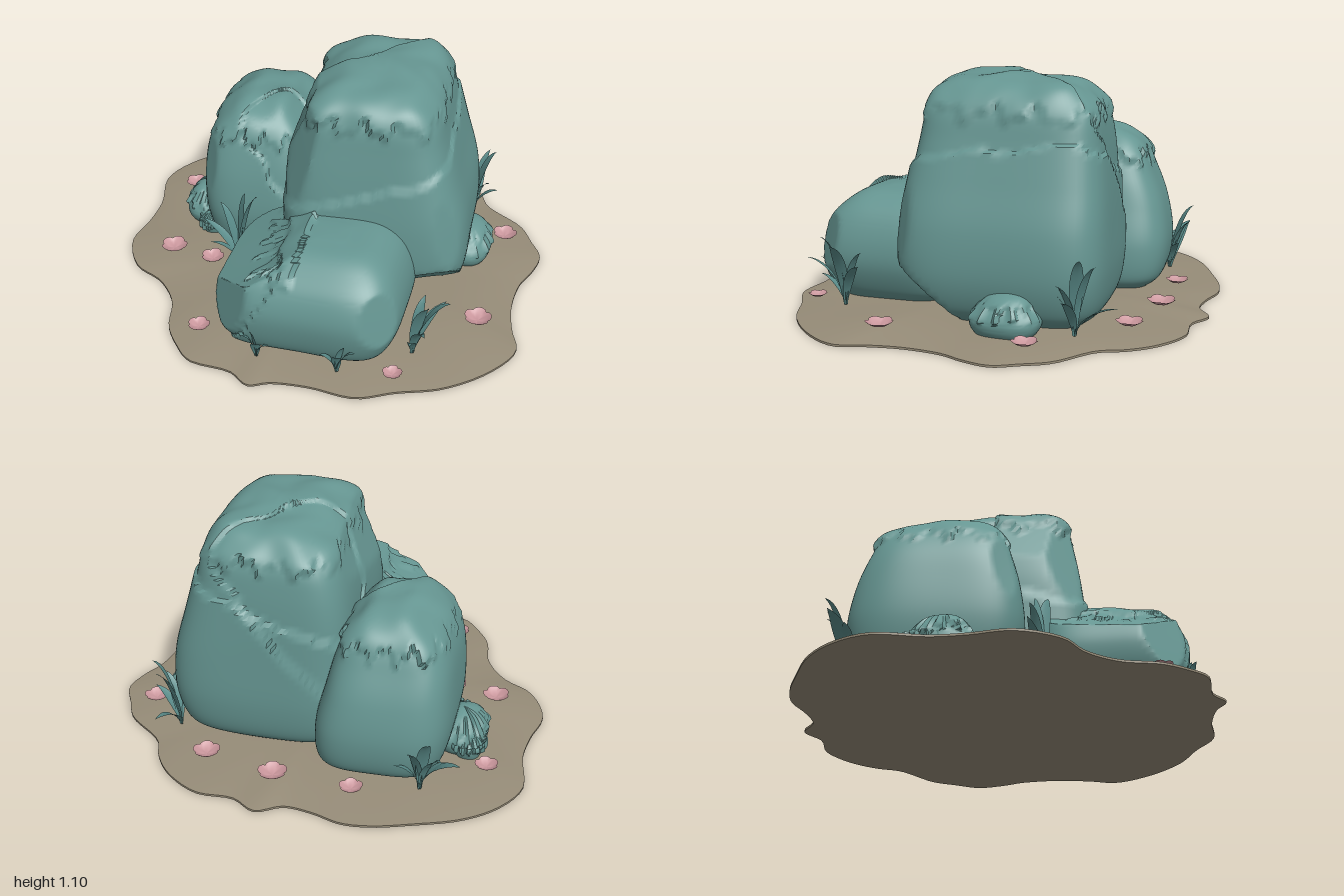
import * as THREE from 'three';
import { toCreasedNormals } from 'three/addons/utils/BufferGeometryUtils.js';

const material = (name, color, side = THREE.FrontSide) => {
  const m = new THREE.MeshStandardMaterial({ color, side });
  m.name = name;
  return m;
};

const smooth = (a, b, v) => THREE.MathUtils.smoothstep(v, a, b);

// Soft repeatable bumps in the range -1 to 1
const bumps = (x, y, z, f) =>
  (Math.sin(x * f + 1.7 * Math.sin(z * f * 0.7)) +
    Math.sin(y * f * 1.1 + 1.3 * Math.sin(x * f * 0.8 + 2)) +
    Math.sin(z * f * 0.9 + 1.5 * Math.sin(y * f * 0.6 + 4))) / 3;

// Closed skin over equal-length rings, with a centre point at each end
function loft(rings) {
  const n = rings[0].length, last = rings.length - 1;
  const centre = ring => ring
    .reduce((s, p) => s.add(p), new THREE.Vector3()).divideScalar(n);
  const points = [...rings.flat(), centre(rings[0]), centre(rings[last])];
  const bottom = n * rings.length, top = bottom + 1;
  const index = [];
  for (let j = 0; j < n; j++) {
    const k = (j + 1) % n;
    for (let i = 0; i < last; i++) {
      const a = i * n + j, b = i * n + k;
      index.push(a, a + n, b, b, a + n, b + n);
    }
    index.push(bottom, j, k, top, last * n + k, last * n + j);
  }
  const g = new THREE.BufferGeometry().setFromPoints(points);
  g.setIndex(index);
  g.computeVertexNormals();
  return g;
}

// Boulder: levels are [y, left, right, back, front]; cuts flatten corners,
// ledges split the face into stepped slabs, the cap is a thick dripping crust
function rockGeometry({ levels, rows = 72, sides = 128, yaw = 0, power = 4, cuts = [], ledges = [], cap, seed }) {
  const xs = new THREE.CatmullRomCurve3(
    levels.map(l => new THREE.Vector3(l[1], l[0], l[2])), false, 'catmullrom');
  const zs = new THREE.CatmullRomCurve3(
    levels.map(l => new THREE.Vector3(l[3], l[0], l[4])), false, 'catmullrom');
  const mid = levels[Math.floor(levels.length / 2) - 1];
  const c = new THREE.Vector3((mid[1] + mid[2]) / 2,
    (levels[0][0] + levels.at(-1)[0]) / 2, (mid[3] + mid[4]) / 2);
  const rings = [];
  for (let i = 0; i <= rows; i++) {
    const px = xs.getPoint(i / rows), pz = zs.getPoint(i / rows), ring = [];
    for (let j = 0; j < sides; j++) {
      const a = j / sides * Math.PI * 2;
      const r = (Math.abs(Math.cos(a - yaw)) ** power + Math.abs(Math.sin(a - yaw)) ** power) ** (-1 / power);
      const p = new THREE.Vector3(
        (px.x + px.z) / 2 + (px.z - px.x) / 2 * r * Math.cos(a), px.y,
        (pz.x + pz.z) / 2 + (pz.z - pz.x) / 2 * r * Math.sin(a));
      for (const [x, y, z, d] of cuts) {
        const normal = new THREE.Vector3(x, y, z).normalize();
        const over = normal.dot(p.clone().sub(c)) - d;
        if (over > 0) p.addScaledVector(normal, -over);
      }
      const out = p.clone().sub(c).normalize();
      let push = 0.008 * bumps(p.x + seed, p.y, p.z, 7);
      for (const [x, y, z, d] of ledges) {
        const side = x * (p.x - c.x) + y * (p.y - c.y) + z * (p.z - c.z) - d
          + 0.025 * bumps(p.x, p.y, p.z + seed, 19);
        push -= 0.016 * smooth(0, 0.012, side);
      }
      const edge = cap(p) + 0.028 * Math.sin(a * 13 + seed) + 0.02 * Math.sin(a * 29 + 2 * seed);
      push += smooth(edge - 0.008, edge + 0.012, p.y)
        * (0.016 + 0.012 * bumps(p.x, p.y, p.z + seed, 24));
      ring.push(p.addScaledVector(out, push));
    }
    rings.push(ring);
  }
  return toCreasedNormals(loft(rings), 0.65);
}

// Earth patch with a wavy outline, given as x, z pairs
function groundGeometry() {
  const xz = [.06, -.97, .18, -.92, .35, -.935, .52, -.855, .62, -.75, .68, -.64, .87, -.51,
    .94, -.4, 1, -.29, .98, -.16, .94, -.05, .93, .13, .96, .29, 1, .42, .91, .59, .73, .75,
    .54, .83, .38, .91, .17, .9, 0, .92, -.09, .96, -.19, .9, -.39, .88, -.48, .8, -.56, .69,
    -.61, .52, -.72, .39, -.87, .31, -.97, .13, -.95, -.05, -.95, -.21, -1, -.43, -.93, -.6,
    -.8, -.73, -.61, -.83, -.45, -.9, -.32, -.925, -.18, -.9, -.05, -.9];
  const pts = [];
  for (let i = 0; i < xz.length; i += 2) pts.push(new THREE.Vector3(xz[i], 0, xz[i + 1]));
  const outline = new THREE.CatmullRomCurve3(pts, true).getPoints(160).slice(0, -1);
  const ring = (t, y) => outline.map(p => new THREE.Vector3(p.x * t, y === 0 ? 0
    : y + 0.006 * (1 - t ** 6) * bumps(p.x * t, 0, p.z * t, 9), p.z * t));
  const steps = [1, .98, .95, .91, .86, .8, .73, .65, .55, .4, .2];
  return toCreasedNormals(loft([ring(1, 0), ...steps.map(t => ring(t, .01 + .035 * (1 - t ** 4)))]), 0.7);
}

// Curved blade, folded along its middle, ending at an offset from its base
function leafGeometry(dx, dz, height, width) {
  const len = Math.hypot(dx, dz), sx = -dz / len, sz = dx / len;
  const pos = [], index = [], rows = 10;
  for (let i = 0; i <= rows; i++) {
    const t = i / rows, o = t ** 1.6, y = height * (1.25 * t - 0.25 * t ** 4);
    const w = width * (0.3 * (1 - t) + 0.85 * Math.sin(Math.PI * t ** 1.1)) / 2;
    for (const s of [-1, 0, 1]) {
      pos.push(dx * o + sx * w * s, y + (s ? w * 0.3 : 0), dz * o + sz * w * s);
    }
    if (i < rows) for (const k of [0, 1]) {
      const a = i * 3 + k;
      index.push(a, a + 1, a + 3, a + 1, a + 4, a + 3);
    }
  }
  const g = new THREE.BufferGeometry();
  g.setAttribute('position', new THREE.Float32BufferAttribute(pos, 3));
  g.setIndex(index);
  g.computeVertexNormals();
  return g;
}

// Five-petalled shallow cup
function flowerGeometry() {
  const g = new THREE.RingGeometry(0.001, 1, 40, 5).rotateX(-Math.PI / 2);
  const p = g.attributes.position;
  for (let i = 0; i < p.count; i++) {
    const x = p.getX(i), z = p.getZ(i), r = Math.hypot(x, z);
    const petal = Math.abs(Math.cos(2.5 * Math.atan2(z, x)));
    const k = 1 - 0.16 * r * (1 - petal ** 0.5);
    p.setXYZ(i, x * k, 0.42 * r * r - 0.1 * r * (1 - petal), z * k);
  }
  g.computeVertexNormals();
  return g;
}

export function createModel() {
  const model = new THREE.Group();
  const stone = material('teal stone', 0x669692);
  const earth = material('brown earth', 0x968c78);
  const foliage = material('teal leaf', 0x5b8d8b, THREE.DoubleSide);
  const petals = material('pink petal', 0xc9969c, THREE.DoubleSide);
  const add = (name, geometry, mat, parent = model) => {
    const mesh = new THREE.Mesh(geometry, mat);
    mesh.name = name;
    parent.add(mesh);
    return mesh;
  };

  add('ground', groundGeometry(), earth);

  // Boulders
  add('tallRock', rockGeometry({
    seed: 1, yaw: -0.09, power: 5,
    levels: [[.03, -.08, .57, -.48, .2], [.1, -.14, .64, -.55, .3], [.25, -.17, .68, -.58, .35],
      [.45, -.18, .67, -.58, .35], [.65, -.18, .62, -.57, .33], [.83, -.15, .57, -.55, .3],
      [.96, -.1, .53, -.52, .27], [1.04, -.02, .46, -.45, .21], [1.08, .07, .36, -.35, .1],
      [1.09, .18, .24, -.18, -.06]],
    cuts: [[-.7, .25, .67, .5], [.7, .15, .7, .53], [.7, .15, -.7, .55], [-.7, .2, -.7, .54],
      [.3, -.7, .6, .58], [-.75, .35, .1, .44]],
    ledges: [[-.3, .9, .1, .1], [-.6, .5, -.6, .33]],
    cap: () => .95
  }), stone);

  add('sideRock', rockGeometry({
    seed: 4, yaw: -0.1, power: 4,
    levels: [[.03, -.58, -.1, -.58, .02], [.1, -.62, -.05, -.65, .07], [.25, -.65, -.05, -.67, .1],
      [.42, -.65, -.09, -.64, .09], [.56, -.63, -.12, -.59, .06], [.67, -.58, -.16, -.54, .02],
      [.74, -.5, -.22, -.46, -.04], [.775, -.43, -.27, -.37, -.13], [.785, -.37, -.33, -.27, -.23]],
    cuts: [[-.7, .2, .7, .37], [-.7, .25, -.7, .4], [.6, .3, .7, .38], [.6, .3, -.7, .43]],
    ledges: [[.5, .6, .6, .3]],
    cap: () => .64
  }), stone);

  add('frontRock', rockGeometry({
    seed: 7, power: 4.5,
    levels: [[.03, -.27, .41, .2, .72], [.09, -.33, .46, .14, .78], [.2, -.36, .5, .12, .81],
      [.3, -.35, .5, .12, .81], [.4, -.32, .47, .14, .77], [.47, -.27, .42, .2, .7],
      [.515, -.14, .34, .28, .62], [.53, .08, .22, .4, .52]],
    cuts: [[-.5, .86, .05, .225], [-.7, .2, .68, .4], [.7, .2, .68, .43], [0, .6, .8, .36]],
    ledges: [[-.8, .45, .1, .17]],
    cap: p => .42 + .3 * smooth(.05, -.2, p.x)
  }), stone);

  // Small stones at the foot of the boulders
  const pebbles = [[-.66, -.2, .11, .19, .14], [-.6, -.06, .06, .12, .07], [-.71, -.27, .06, .12, .08],
    [.64, -.22, .12, .19, .15]];
  pebbles.forEach(([x, z, rx, h, rz], i) => {
    const l = (y, k) => [y, x - rx * k, x + rx * k, z - rz * k, z + rz * k];
    add('pebble', rockGeometry({
      seed: i + 2, rows: 28, sides: 56, power: 2.6,
      levels: [l(.02, .8), l(.06, .98), l(.1, 1), l(h * .75, .8), l(h * .93, .5), l(h, .1)],
      cap: () => h * .72
    }), stone);
  });

  // Leaf tufts: base x, z, then tip offsets, height and width of each blade
  const tufts = [
    [-.39, .18, [[.11, .02, .42, .06], [.03, -.03, .39, .055], [-.1, -.04, .31, .05],
      [-.2, -.04, .2, .05], [.07, .08, .2, .04], [-.12, .06, .14, .04]]],
    [.61, -.52, [[.1, -.05, .36, .06], [.09, .06, .24, .05], [.06, -.11, .33, .05],
      [.13, .02, .18, .05], [.04, .13, .22, .04], [.03, -.2, .15, .05]]],
    [.56, .59, [[.08, .08, .33, .07], [.12, -.13, .22, .05], [.16, -.01, .31, .06],
      [.08, .15, .23, .05], [.03, -.1, .26, .05], [.01, .12, .14, .04]]],
    [-.58, -.62, [[-.19, -.05, .2, .07], [.03, -.11, .25, .05], [-.13, .01, .16, .06],
      [-.06, -.1, .31, .06], [-.11, -.07, .22, .06], [.1, -.07, .15, .04]]],
    [-.1, .8, [[-.05, .04, .14, .04], [.01, .05, .11, .045], [.07, .03, .1, .035], [-.02, .02, .15, .04]]],
    [.27, .8, [[-.07, .03, .11, .04], [.01, .06, .13, .045], [.09, .03, .15, .035], [.04, .03, .17, .04]]]
  ];
  for (const [x, z, leaves] of tufts) {
    const tuft = new THREE.Group();
    tuft.name = 'leafTuft';
    tuft.position.set(x, .035, z);
    leaves.forEach(l => add('leaf', leafGeometry(...l), foliage, tuft));
    model.add(tuft);
  }

  // Flowers scattered on the ground
  const flower = flowerGeometry();
  const spots = [[-.3, -.73, .053], [.06, -.75, .066], [.4, -.7, .062], [-.82, -.38, .053],
    [.81, -.37, .058], [-.73, .17, .063], [-.52, .2, .055], [.8, .3, .063], [-.41, .69, .05], [.51, .76, .044]];
  spots.forEach(([x, z, r], i) => {
    const mesh = add('flower', flower, petals);
    mesh.position.set(x, .042, z);
    mesh.scale.setScalar(r);
    mesh.rotation.y = i * 1.3;
  });
  return model;
}
